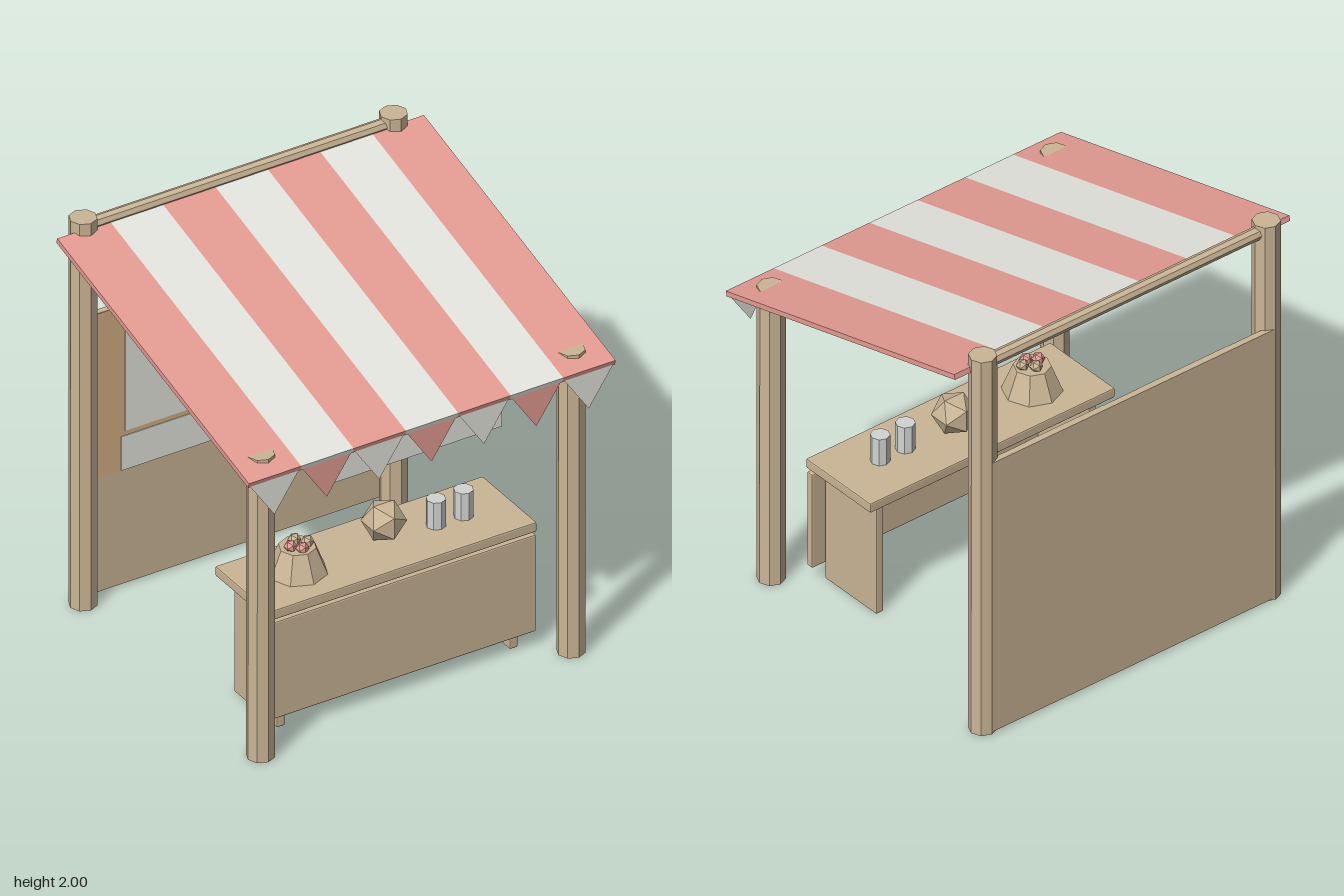
import * as THREE from 'three';
import { RoundedBoxGeometry } from 'three/addons/geometries/RoundedBoxGeometry.js';

const mat = (name, color, extra = {}) => {
  const m = new THREE.MeshStandardMaterial({ color, flatShading: true, ...extra });
  m.name = name;
  return m;
};

export function createModel() {
  const root = new THREE.Group();
  root.name = 'marketStall';
  const wood = mat('wood', 0xcbb696);
  const tan = mat('tan board', 0xd2b084);
  const white = mat('white cloth', 0xe6e6df, { side: THREE.DoubleSide });
  const red = mat('red cloth', 0xe69d93, { side: THREE.DoubleSide });
  const metal = mat('pale metal', 0xd2d4d2);

  const add = (name, geometry, material, x, y, z, parent = root) => {
    const mesh = new THREE.Mesh(geometry, material);
    mesh.name = name;
    mesh.position.set(x, y, z);
    parent.add(mesh);
    return mesh;
  };
  const box = (w, h, d) => new THREE.BoxGeometry(w, h, d);
  const board = (w, h, d) => new RoundedBoxGeometry(w, h, d, 1, 0.007);

  // Octagonal posts and the two cross beams
  const frontZ = 0.695, backZ = -0.763;
  for (const [end, z, h] of [['front', frontZ, 1.565], ['back', backZ, 2]]) {
    for (const side of [-1, 1]) {
      add(end + 'Post', new THREE.CylinderGeometry(0.064, 0.065, h, 8), wood, side * 0.8, h / 2, z);
    }
    const beam = add(end + 'Beam', new THREE.CylinderGeometry(0.032, 0.032, 1.6, 8), wood,
      0, end === 'front' ? 1.508 : 1.953, z);
    beam.rotation.set(0, 0, Math.PI / 2);
  }

  // Back wall with a tan inner board and three pale sheets
  add('backWall', box(1.6, 1.44, 0.03), wood, 0, 0.73, -0.811);
  const innerZ = -0.795;
  add('innerBoard', box(1.48, 0.85, 0.004), tan, 0, 1.024, innerZ);
  for (const [x0, x1, y0, y1] of [
    [-0.565, -0.05, 0.8, 1.448], [0.14, 0.58, 0.8, 1.448], [-0.585, 0.58, 0.6, 0.775],
  ]) {
    add('wallSheet', box(x1 - x0, y1 - y0, 0.004), white, (x0 + x1) / 2, (y0 + y1) / 2, innerZ + 0.003);
  }

  // Sloping awning in seven stripes
  const awning = new THREE.Group();
  awning.name = 'awning';
  awning.position.set(0, 1.725, 0.04);
  awning.rotation.x = Math.atan2(0.421, 1.575);
  root.add(awning);
  const step = 0.27;
  for (let i = -3; i <= 3; i++) {
    add('awningStripe', box(step, 0.026, 1.63), i % 2 ? red : white, i * step, 0, 0, awning)
      .material = i % 2 ? white : red;
  }
  // Outer stripes are red, the middle one too would break the alternation
  awning.children.forEach((stripe, i) => { stripe.material = i % 2 ? white : red; });

  // Pennants along the front edge
  const pennant = new THREE.ShapeGeometry(new THREE.Shape([
    new THREE.Vector2(-0.125, 0), new THREE.Vector2(0, -0.185), new THREE.Vector2(0.125, 0),
  ]));
  for (let i = 0; i < 7; i++) {
    add('pennant', pennant, i % 2 ? red : white, (i - 3) * step, 1.505, 0.825);
  }

  // Blank hanging sign
  add('hangingSign', box(0.875, 0.16, 0.02), white, 0, 1.37, frontZ);
  for (const side of [-1, 1]) {
    add('signHanger', box(0.015, 0.06, 0.015), wood, side * 0.39, 1.465, frontZ);
  }

  // Counter
  add('counterTop', board(1.38, 0.05, 0.445), wood, 0, 0.622, 0.368);
  add('counterFront', board(1.38, 0.5, 0.038), wood, 0, 0.33, 0.566);
  for (const side of [-1, 1]) {
    add('counterSide', board(0.042, 0.6, 0.355), wood, side * 0.6, 0.3, 0.367);
  }

  // Goods on the counter
  const shelf = 0.646;
  add('basket', new THREE.CylinderGeometry(0.085, 0.137, 0.13, 8), wood, -0.405, shelf + 0.065, 0.368);
  const fruit = new THREE.IcosahedronGeometry(0.03, 0);
  for (const [x, y, z, m] of [
    [-0.445, 0.79, 0.375, red], [-0.405, 0.785, 0.41, red],
    [-0.36, 0.79, 0.38, wood], [-0.4, 0.79, 0.335, wood],
  ]) add('fruit', fruit, m, x, y, z);
  add('melon', new THREE.IcosahedronGeometry(0.102, 0), wood, 0.055, 0.74, 0.345);
  for (const x of [0.305, 0.447]) {
    add('cup', new THREE.CylinderGeometry(0.045, 0.045, 0.14, 8), metal, x, shelf + 0.07, 0.375);
  }
  return root;
}
